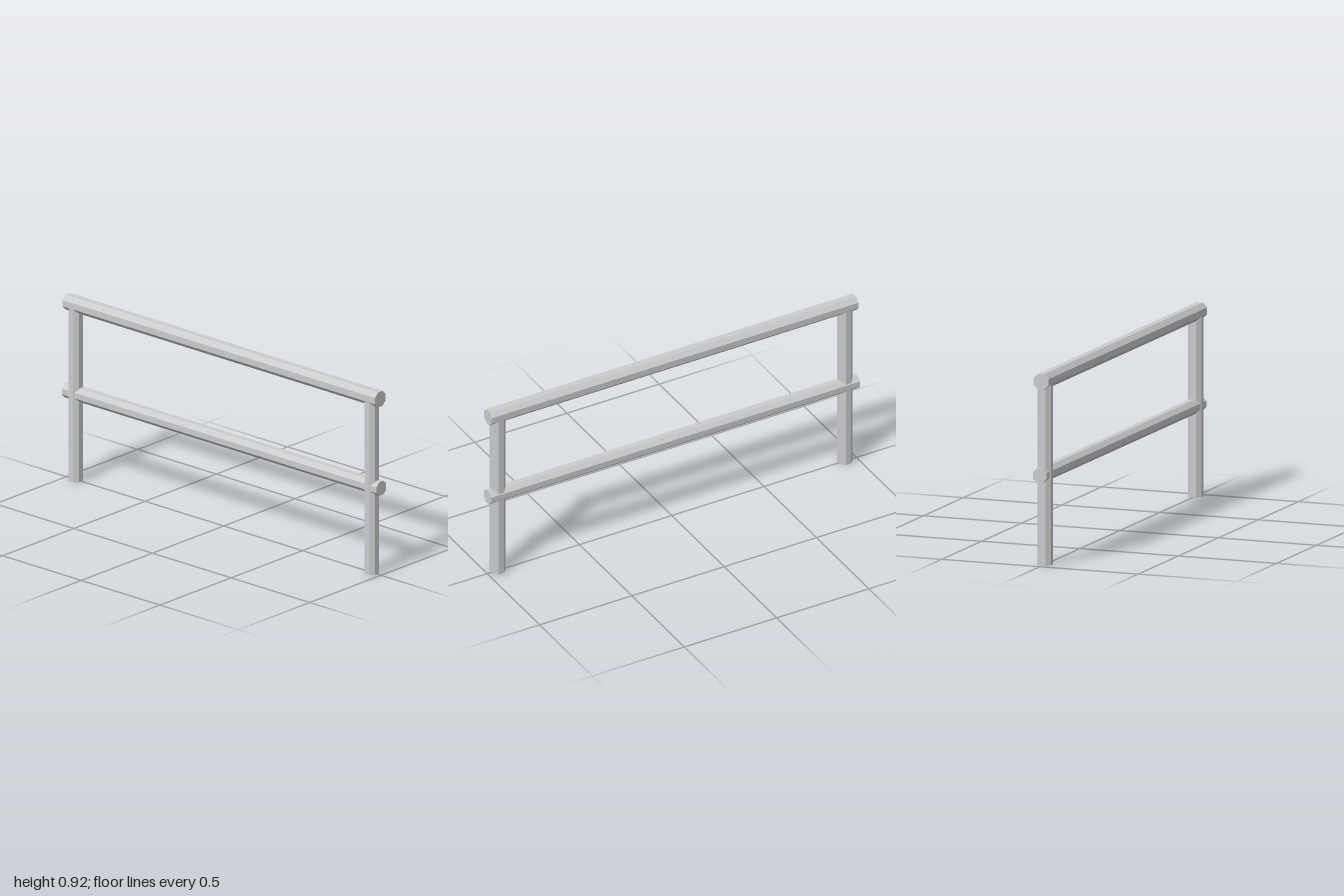
import * as THREE from 'three';

const material = new THREE.MeshStandardMaterial({ color: 0xcccccc, flatShading: true });

// Octagonal bar standing along y, flat sides facing the axes
function bar(name, width, length) {
  const radius = width / 2 / Math.cos(Math.PI / 8);
  const geometry = new THREE.CylinderGeometry(radius, radius, length, 8);
  geometry.rotateY(Math.PI / 8);
  const mesh = new THREE.Mesh(geometry, material);
  mesh.name = name;
  return mesh;
}

export function createModel() {
  const group = new THREE.Group();
  group.name = 'railing';

  // Upright posts, their tops buried in the top rail
  const postHeight = 0.87;
  for (const [name, z] of [['frontPost', 0.943], ['backPost', -0.939]]) {
    const post = bar(name, 0.069, postHeight);
    post.position.set(-0.002, postHeight / 2, z);
    group.add(post);
  }

  // Horizontal rails running front to back
  const rails = [
    ['topRail', 0.075, 1.987, -0.001, 0.884, 0.003],
    ['middleRail', 0.069, 2, 0.002, 0.436, 0],
  ];
  for (const [name, width, length, x, y, z] of rails) {
    const rail = bar(name, width, length);
    rail.rotation.x = Math.PI / 2;
    rail.position.set(x, y, z);
    group.add(rail);
  }

  return group;
}
